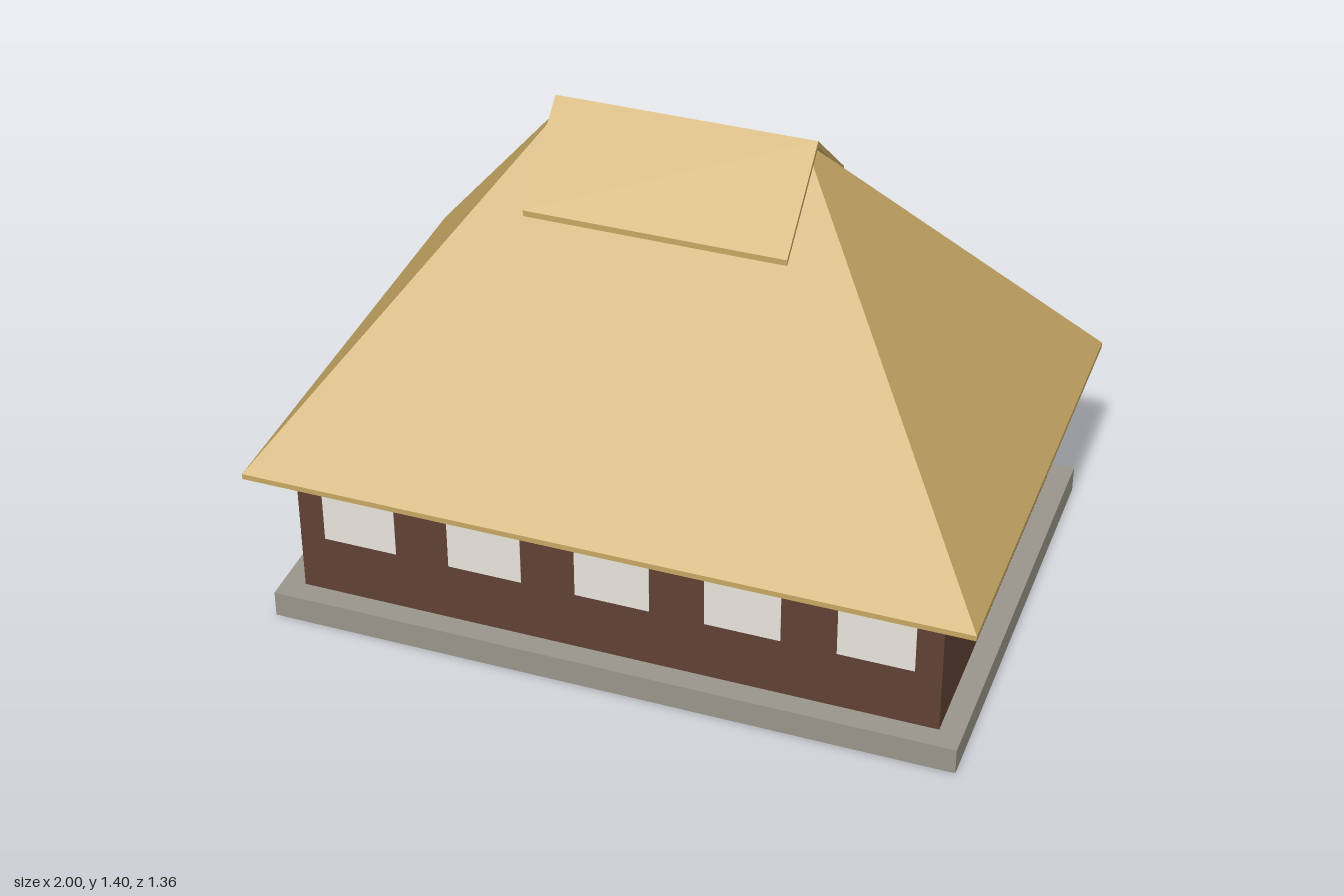
import * as THREE from 'three';

const thatch = new THREE.MeshStandardMaterial({ name: 'thatch', color: 0xc8a864 });
const timber = new THREE.MeshStandardMaterial({ name: 'timber', color: 0x5f4134 });
const stone = new THREE.MeshStandardMaterial({ name: 'stone', color: 0x9a958c, side: THREE.DoubleSide });
const pane = new THREE.MeshStandardMaterial({ name: 'pane', color: 0xe6e4dc });

const WALL_X = 0.896, WALL_Z = 0.577, BASE_TOP = 0.077;
const EAVE_BOTTOM = 0.481, EAVE_TOP = 0.497, RIDGE_Y = 1.394, RIDGE_X = 0.32;

export function createModel() {
  const house = new THREE.Group();
  house.name = 'thatchedHouse';

  const add = (parent, name, geometry, material, x = 0, y = 0, z = 0) => {
    const mesh = new THREE.Mesh(geometry, material);
    mesh.name = name;
    mesh.position.set(x, y, z);
    parent.add(mesh);
    return mesh;
  };
  // Box given by its half widths and its bottom and top heights
  const block = (parent, name, hx, hz, y0, y1, material) =>
    add(parent, name, new THREE.BoxGeometry(hx * 2, y1 - y0, hz * 2), material, 0, (y0 + y1) / 2, 0);
  // Section in the z-y plane, run along x and centred
  const alongX = (points, length) => {
    const shape = new THREE.Shape(points.map(([x, y]) => new THREE.Vector2(x, y)));
    return new THREE.ExtrudeGeometry(shape, { depth: length, bevelEnabled: false })
      .translate(0, 0, -length / 2).rotateY(Math.PI / 2);
  };

  // Foundation: a hollow slab, open underneath (the box's bottom face is left out)
  const foundation = block(house, 'foundation', 0.96, 0.64, 0, BASE_TOP, stone);
  const faces = Array.from(foundation.geometry.index.array);
  faces.splice(18, 6);
  foundation.geometry.setIndex(faces);
  foundation.geometry.clearGroups();

  block(house, 'walls', WALL_X, WALL_Z, BASE_TOP, EAVE_BOTTOM, timber);

  // Windows: five in front, four behind, two at each end
  const windows = new THREE.Group();
  windows.name = 'windows';
  house.add(windows);
  const windowRow = (name, centres, distance, angle) => {
    const row = new THREE.Group();
    row.name = name;
    row.rotation.y = angle;
    for (const c of centres) {
      add(row, 'window', new THREE.BoxGeometry(0.208, 0.208, 0.004), pane, c, 0.357, distance);
    }
    windows.add(row);
  };
  windowRow('frontWindows', [-0.72, -0.36, 0, 0.36, 0.72], WALL_Z, 0);
  windowRow('backWindows', [-0.675, -0.225, 0.225, 0.675], WALL_Z, Math.PI);
  windowRow('leftWindows', [-0.29, 0.29], WALL_X, Math.PI / 2);
  windowRow('rightWindows', [-0.29, 0.29], WALL_X, -Math.PI / 2);

  // Eave edge with a timber soffit underneath
  const roof = new THREE.Group();
  roof.name = 'roof';
  house.add(roof);
  block(roof, 'eaves', 1, 0.68, EAVE_BOTTOM, EAVE_TOP, [thatch, thatch, thatch, timber, thatch, thatch]);

  // Hipped roof: a box whose top is drawn in to the ridge
  const hip = block(roof, 'hippedRoof', 1, 0.68, EAVE_TOP, RIDGE_Y, thatch);
  const p = hip.geometry.attributes.position;
  for (let i = 0; i < p.count; i++) {
    if (p.getY(i) > 0) {
      p.setX(i, Math.sign(p.getX(i)) * RIDGE_X);
      p.setZ(i, 0);
    }
  }
  hip.geometry.computeVertexNormals();

  // Ridge cap: a chevron section run along the ridge
  const chevron = [
    [-0.243, 1.175], [0, 1.384], [0.243, 1.175], [0.243, 1.192], [0, 1.402], [-0.243, 1.192],
  ];
  add(roof, 'ridgeCap', alongX(chevron, 0.712), thatch);

  // Small timber gables under the cap ends
  const gableGeometry = alongX([[-0.205, 1.207], [0.205, 1.207], [0, 1.38]], 0.006);
  for (const side of [-1, 1]) {
    add(roof, side > 0 ? 'leftGable' : 'rightGable', gableGeometry, timber, side * 0.322);
  }

  return house;
}
